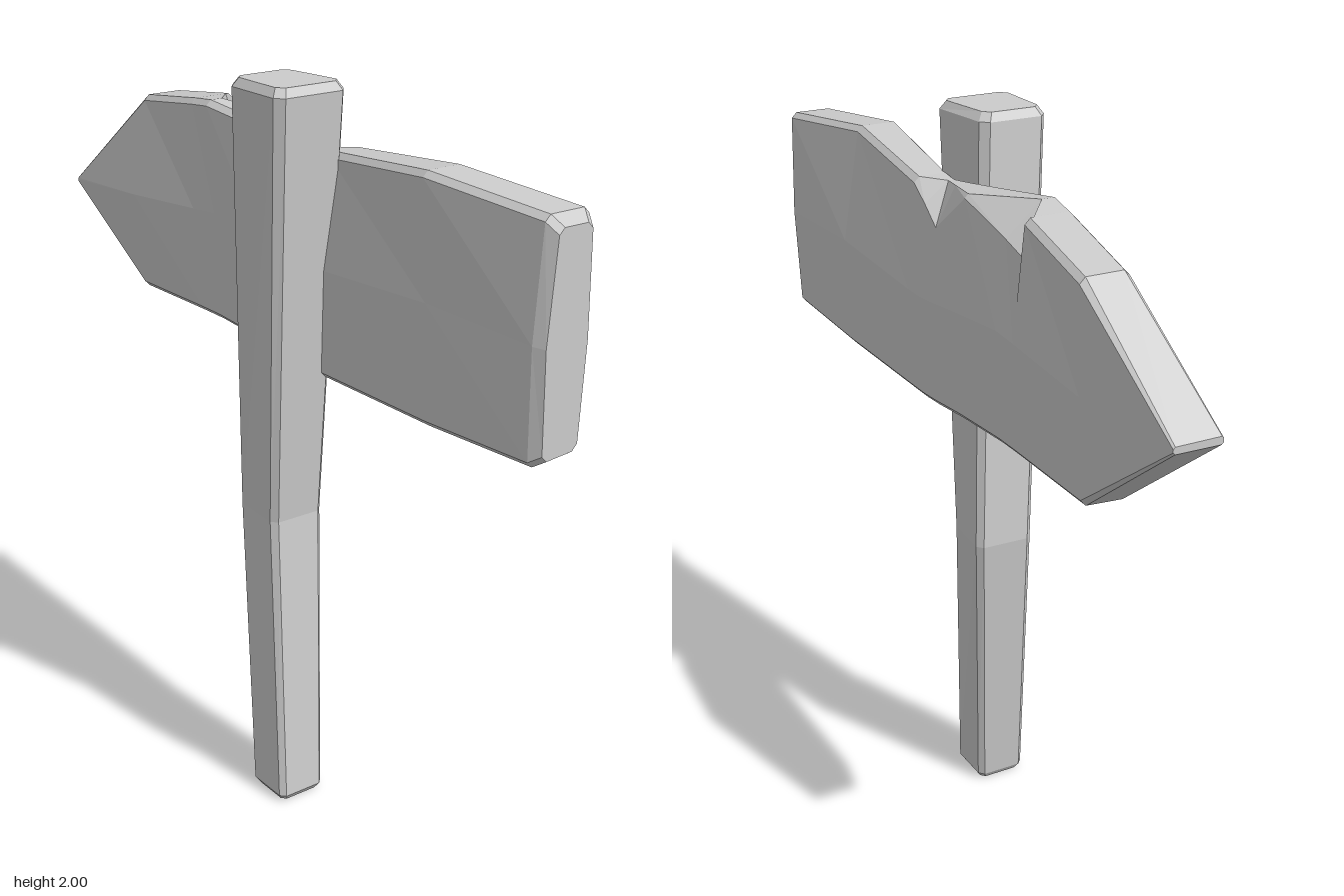
import * as THREE from 'three';

const material = new THREE.MeshStandardMaterial({ color: 0xcccccc, flatShading: true });

// Skin a list of equal-length rings of [x, y, z] points and close both ends.
function loft(name, rings) {
  const pos = [];
  const tri = (a, b, c) => pos.push(...a, ...b, ...c);
  const n = rings[0].length;
  for (let i = 0; i < rings.length - 1; i++) {
    for (let j = 0; j < n; j++) {
      const k = (j + 1) % n;
      const a = rings[i][j], b = rings[i][k], c = rings[i + 1][k], d = rings[i + 1][j];
      tri(a, b, c);
      tri(a, c, d);
    }
  }
  const first = rings[0], last = rings[rings.length - 1];
  for (let j = 1; j < n - 1; j++) {
    tri(first[0], first[j + 1], first[j]);
    tri(last[0], last[j], last[j + 1]);
  }
  const geometry = new THREE.BufferGeometry();
  geometry.setAttribute('position', new THREE.Float32BufferAttribute(pos, 3));
  geometry.computeVertexNormals();
  const mesh = new THREE.Mesh(geometry, material);
  mesh.name = name;
  return mesh;
}

// Chamfered four-cornered ring; corners run back-left, front-left, front-right, back-right.
function postRing(y, corners, inset = 0) {
  const cx = corners.reduce((s, p) => s + p[0], 0) / 4;
  const cz = corners.reduce((s, p) => s + p[1], 0) / 4;
  const pts = corners.map(([x, z]) => [
    x - Math.sign(x - cx) * inset, z - Math.sign(z - cz) * inset]);
  const cut = 0.1;
  return pts.flatMap((p, i) => [pts[(i + 3) % 4], pts[(i + 1) % 4]].map((q) => [
    p[0] + (q[0] - p[0]) * cut, y, p[1] + (q[1] - p[1]) * cut]));
}

function createPost() {
  const foot = [[-0.13, 0.075], [-0.13, 0.22], [0.012, 0.22], [0.012, 0.075]];
  const bend = [[-0.10, -0.025], [-0.11, 0.15], [0.052, 0.15], [0.065, -0.02]];
  const head = [[-0.168, 0.035], [-0.168, 0.25], [0.043, 0.25], [0.015, 0.035]];
  return loft('post', [
    postRing(0, foot, 0.012),
    postRing(0.018, foot),
    postRing(0.83, bend),
    postRing(1.978, head),
    postRing(2, head, 0.014),
  ]);
}

// Board cross-section at z; chipY and chipX pull the upper front edge in where wood is broken off.
function boardRing({ z, top, bottom, back, front, midBack = 0, midFront = 0.155,
  lowBack = 0.015, lowFront = 0.145, chipY, chipX }) {
  const c = Math.min(0.015, (top - bottom) / 4);
  const mid = (top + bottom) / 2;
  return [
    [lowBack, bottom + c, z],
    [lowBack + c, bottom, z],
    [lowFront - c, bottom + c * 0.4, z],
    [lowFront, bottom + c * 1.5, z],
    [midFront, mid, z],
    [front, chipY ?? top - c, z],
    [chipX ?? front - c, top, z],
    [back + c, top, z],
    [back, top - c, z],
    [midBack, mid, z],
  ];
}

function createBoard() {
  return loft('arrowBoard', [
    // pointed end
    { z: -0.98, top: 1.52, bottom: 1.5, back: -0.02, front: 0.11,
      midBack: -0.02, midFront: 0.11, lowBack: -0.02, lowFront: 0.11 },
    { z: -0.67, top: 1.81, bottom: 1.25, back: 0.03, front: 0.16, midBack: -0.015 },
    // deep chip with a stepped end
    { z: -0.366, top: 1.857, bottom: 1.255, back: -0.01, front: 0.125, midBack: -0.01 },
    { z: -0.365, top: 1.857, bottom: 1.255, back: -0.01, front: 0.13, midBack: -0.01,
      chipY: 1.765, chipX: 0.1 },
    { z: -0.28, top: 1.868, bottom: 1.255, back: -0.02, front: 0.127, chipY: 1.785, chipX: 0.03 },
    { z: -0.07, top: 1.84, bottom: 1.243, back: 0.005, front: 0.125, chipY: 1.83, chipX: 0.115 },
    // shallow chip
    { z: 0.07, top: 1.822, bottom: 1.23, back: 0.02, front: 0.135, chipY: 1.72, chipX: 0.078 },
    { z: 0.14, top: 1.815, bottom: 1.226, back: 0.03, front: 0.13, chipY: 1.763, chipX: 0.062 },
    { z: 0.2, top: 1.818, bottom: 1.226, back: 0.025, front: 0.13 },
    // blunt end
    { z: 0.6, top: 1.86, bottom: 1.228, back: -0.02, front: 0.105 },
    { z: 0.95, top: 1.83, bottom: 1.245, back: 0.025, front: 0.155, midBack: 0.008, midFront: 0.162,
      lowBack: 0.015, lowFront: 0.15 },
    { z: 0.98, top: 1.805, bottom: 1.265, back: 0.04, front: 0.14, midBack: 0.022, midFront: 0.148,
      lowBack: 0.03, lowFront: 0.138 },
  ].map(boardRing));
}

export function createModel() {
  const model = new THREE.Group();
  model.name = 'signpost';
  model.add(createPost(), createBoard());
  return model;
}
